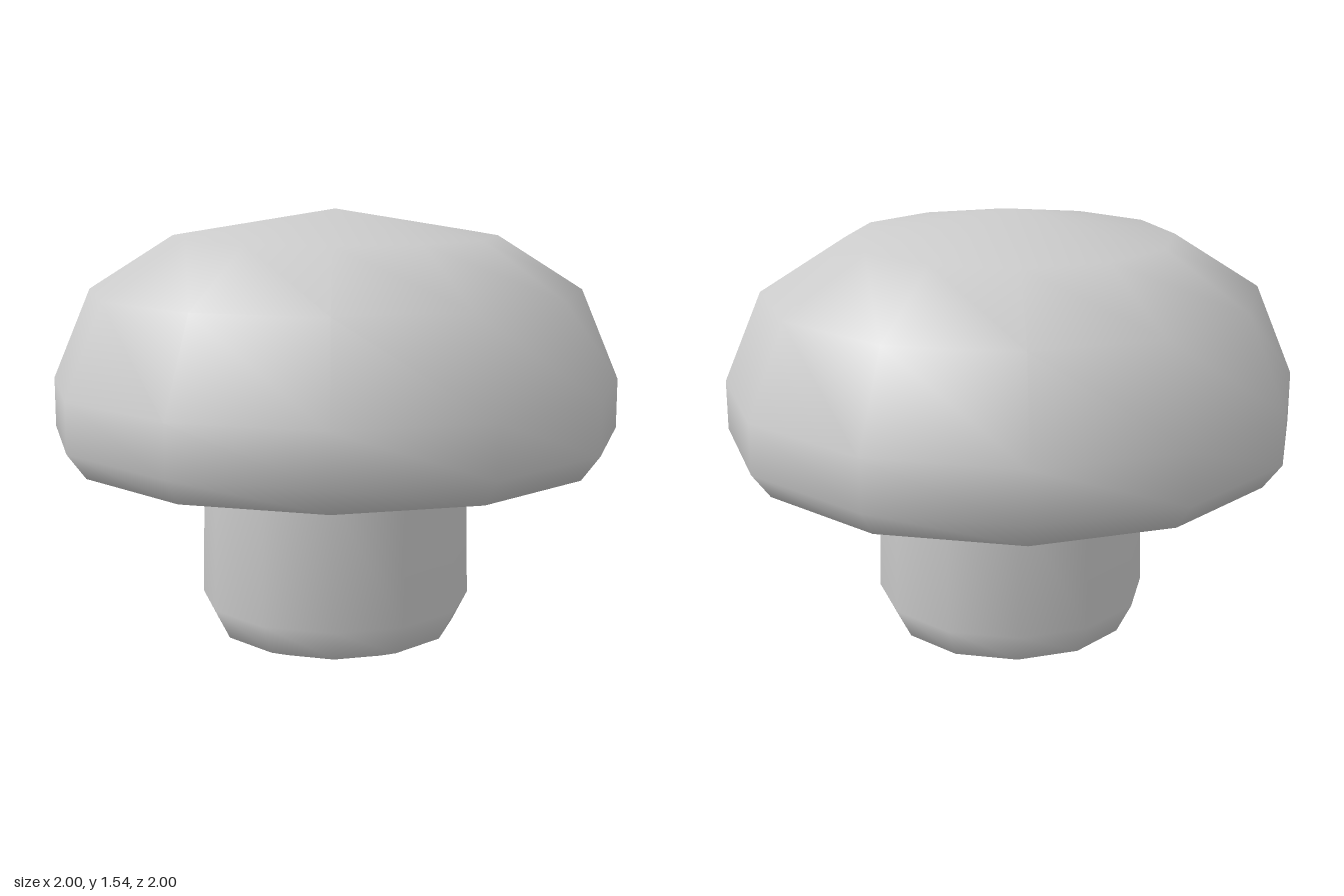
import * as THREE from 'three';

const SIDES = 12;

// Smooth low-poly turned part; profile runs from bottom to top as [radius, y]
function turned(name, profile, material) {
  const geometry = new THREE.LatheGeometry(profile.map(([r, y]) => new THREE.Vector2(r, y)), SIDES);
  // Normals on the axis point straight up or down
  const { position, normal } = geometry.attributes;
  for (let i = 0; i < position.count; i++) {
    if (Math.hypot(position.getX(i), position.getZ(i)) < 1e-4) {
      normal.setXYZ(i, 0, position.getY(i) > 0.5 ? 1 : -1, 0);
    }
  }
  const mesh = new THREE.Mesh(geometry, material);
  mesh.name = name;
  return mesh;
}

export function createModel() {
  const group = new THREE.Group();
  group.name = 'mushroom';
  const material = new THREE.MeshStandardMaterial({ color: 0xcccccc });

  // Stem with a rounded foot
  group.add(turned('stem', [
    [0, 0], [0.32, 0.006], [0.425, 0.047], [0.48, 0.155], [0.47, 0.612],
  ], material));

  // Domed cap with a shallow sloping underside
  group.add(turned('cap', [
    [0.47, 0.612], [0.935, 0.677], [1, 0.765], [1, 0.94],
    [0.865, 1.257], [0.567, 1.445], [0, 1.537],
  ], material));

  return group;
}
